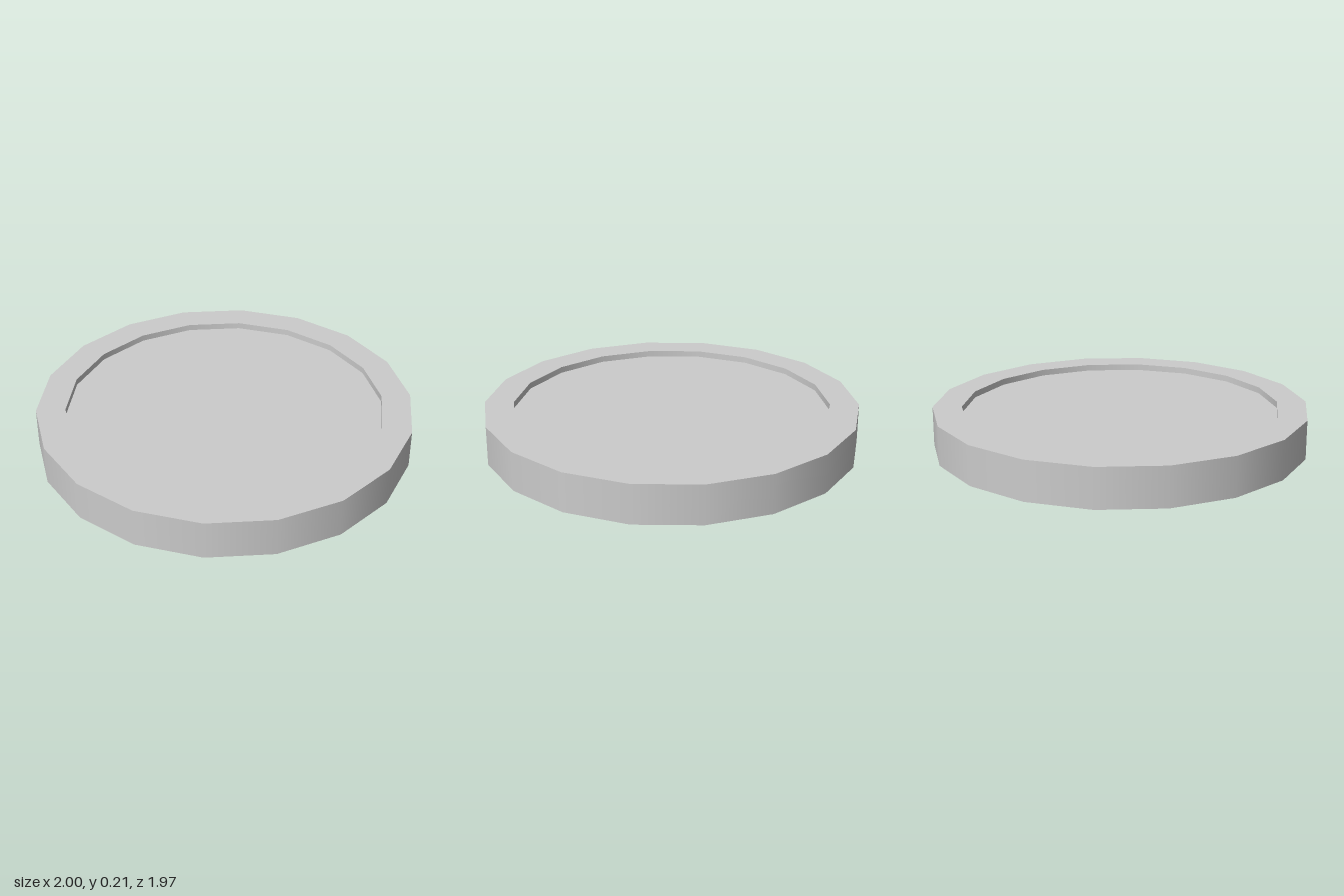
import * as THREE from 'three';
import { mergeGeometries } from 'three/addons/utils/BufferGeometryUtils.js';

const SIDES = 18;
const OUTER = 1, INNER = 0.845, HEIGHT = 0.21;
const FLOOR_TOP = 0.176, FLOOR_BOTTOM = 0.023;

// Revolves each profile segment on its own: smooth around, sharp between segments
function revolve(name, profile, material) {
  const bands = [];
  for (let i = 0; i < profile.length - 1; i++) {
    const pair = [profile[i], profile[i + 1]].map(([r, y]) => new THREE.Vector2(r, y));
    bands.push(new THREE.LatheGeometry(pair, SIDES, Math.PI / 2));
  }
  const mesh = new THREE.Mesh(mergeGeometries(bands), material);
  mesh.name = name;
  return mesh;
}

export function createModel() {
  const group = new THREE.Group();
  group.name = 'shallowDish';
  const grey = new THREE.MeshStandardMaterial({ color: 0xcccccc });

  // Outer rim: underside, outer wall, top face, inner lip
  group.add(revolve('rim', [
    [INNER, FLOOR_BOTTOM], [INNER, 0], [OUTER, 0],
    [OUTER, HEIGHT], [INNER, HEIGHT], [INNER, FLOOR_TOP],
  ], grey));

  // Recessed panels on the top and the underside
  group.add(revolve('topPanel', [[INNER, FLOOR_TOP], [0, FLOOR_TOP]], grey));
  group.add(revolve('bottomPanel', [[0, FLOOR_BOTTOM], [INNER, FLOOR_BOTTOM]], grey));

  return group;
}
